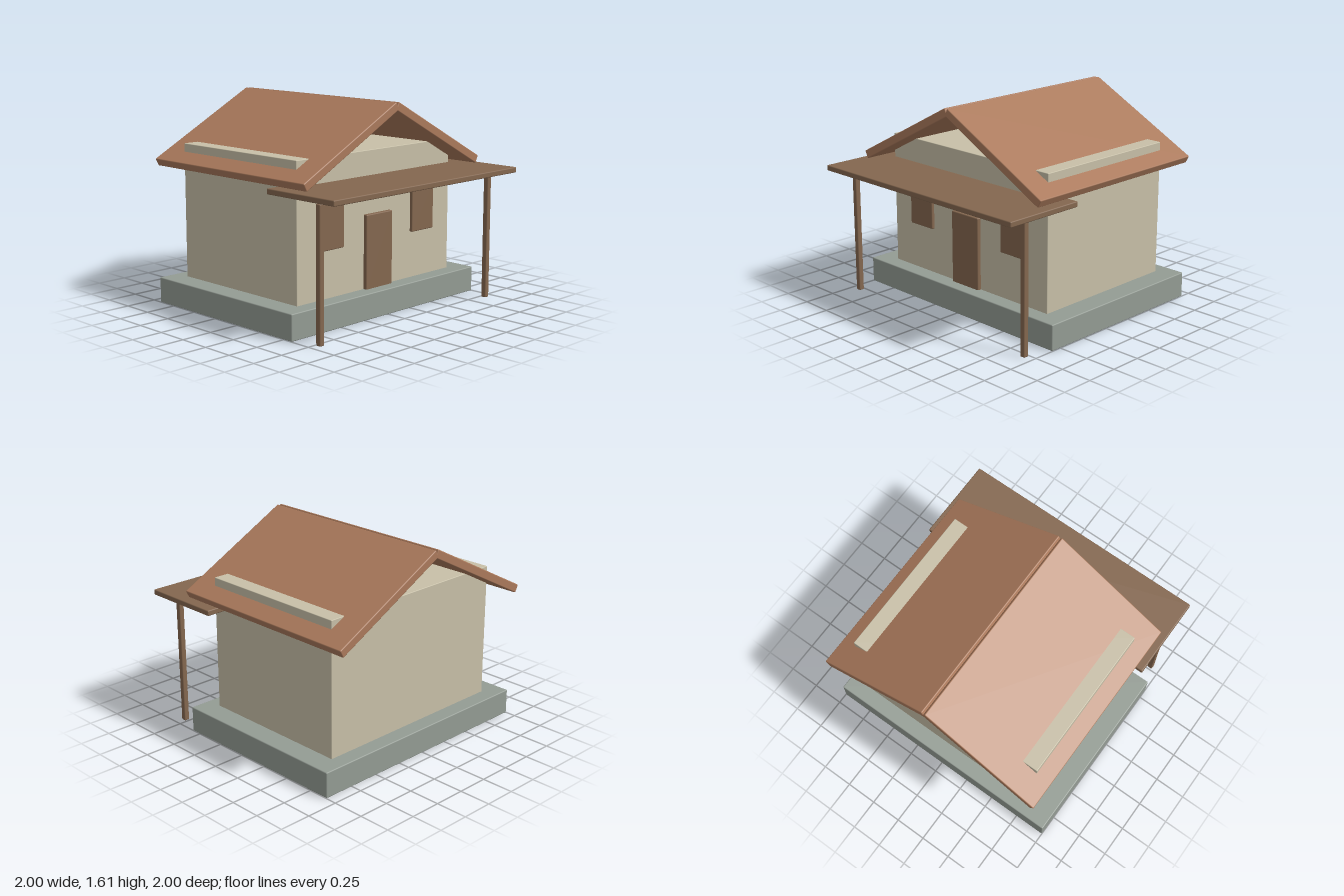
import * as THREE from 'three';
import { RoundedBoxGeometry } from 'three/addons/geometries/RoundedBoxGeometry.js';

const mat = (color) => new THREE.MeshStandardMaterial({ color });

export function createModel() {
  const house = new THREE.Group();
  house.name = 'house';
  const stone = mat(0x949c94), plaster = mat(0xc8c0a8);
  const wood = mat(0x84674f), tile = mat(0xab7a5c);

  // Box with softened edges, given by its extents on each axis
  function block(name, material, [x0, x1], [y0, y1], [z0, z1], bevel = 0.008) {
    const geometry = new RoundedBoxGeometry(x1 - x0, y1 - y0, z1 - z0, 2, bevel);
    const mesh = new THREE.Mesh(geometry, material);
    mesh.name = name;
    mesh.position.set((x0 + x1) / 2, (y0 + y1) / 2, (z0 + z1) / 2);
    house.add(mesh);
    return mesh;
  }

  block('foundation', stone, [-1, 1], [0, 0.2], [-0.915, 0.585]);
  // The wall tops show through the roof near the eaves
  block('walls', plaster, [-0.83, 0.83], [0.19, 1.25], [-0.79, 0.46], 0.005);
  block('door', wood, [-0.142, 0.142], [0.19, 0.77], [0.43, 0.49]);
  block('porchCanopy', wood, [-1, 1], [1.017, 1.06], [0.337, 1]);

  for (const side of [1, -1]) {
    const label = side > 0 ? 'left' : 'right';
    const span = (a, b) => (side > 0 ? [a, b] : [-b, -a]);
    block(label + 'Window', wood, span(0.375, 0.623), [0.562, 0.91], [0.43, 0.484]);
    block(label + 'PorchPost', wood, span(0.897, 0.94), [0, 1], [0.763, 0.806]);

    // Sloping roof slab
    const roof = block(label + 'RoofPanel', tile, [-0.53, 0.53], [0, 0.065], [-1, 0.662]);
    roof.position.x = side * 0.468;
    roof.position.y = 1.338;
    roof.rotation.z = -side * 0.4826;
  }
  return house;
}
